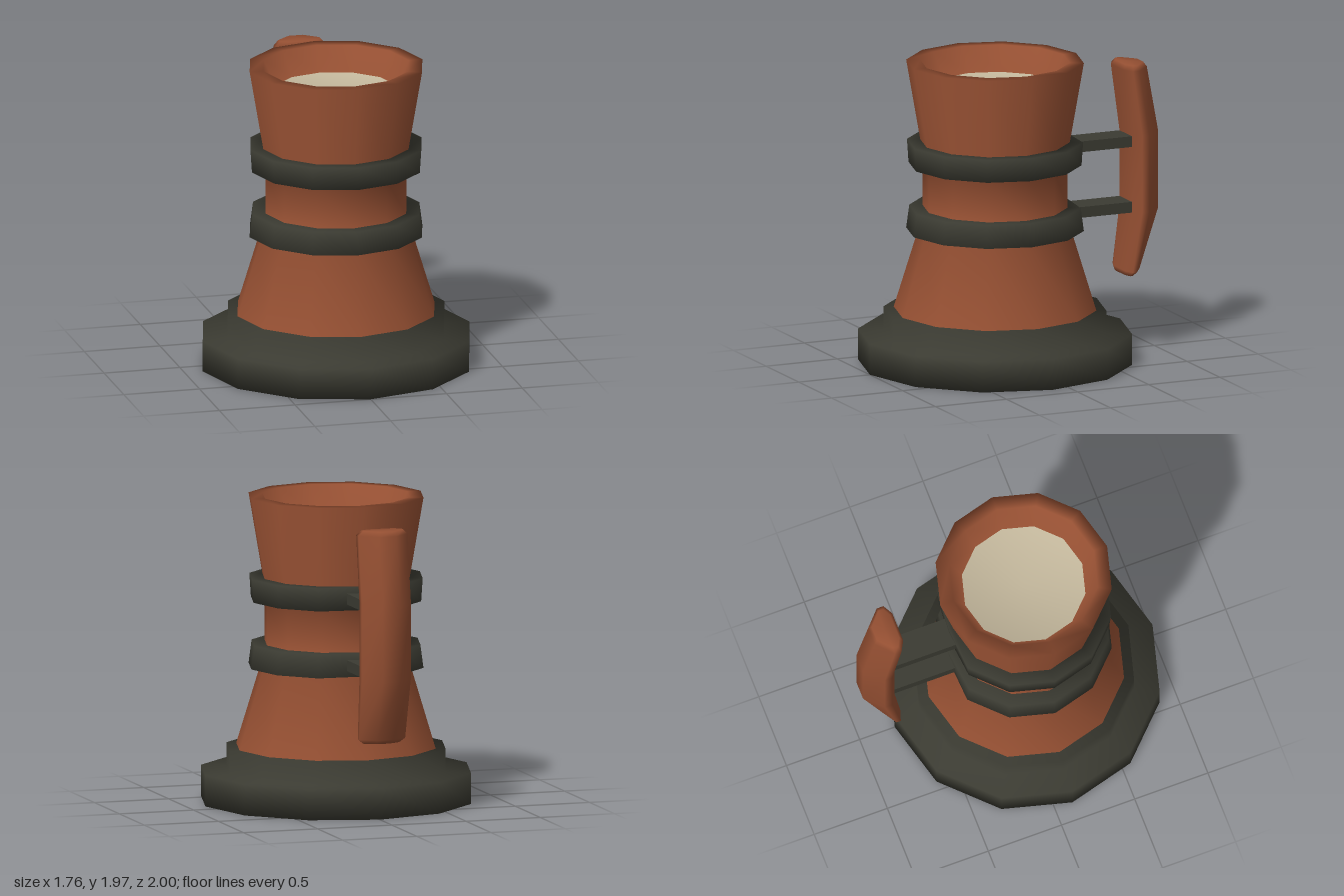
import * as THREE from 'three';

const terracotta = new THREE.MeshStandardMaterial({ color: 0x944f32 });
terracotta.name = 'terracotta';
const iron = new THREE.MeshStandardMaterial({ color: 0x3b3b32 });
iron.name = 'dark iron';
const cream = new THREE.MeshStandardMaterial({ color: 0xc2b69b });
cream.name = 'cream foam';

const SIDES = 12;
const CENTER_Z = 0.12;

// Whole mug outline [radius, y], from the underside up and into the mouth
const PROFILE = [
  [0, 0], [0.88, 0], [0.88, 0.2], [0.715, 0.2], [0.715, 0.35], [0.65, 0.35],
  [0.49, 0.87], [0.57, 0.87], [0.55, 1.02], [0.465, 1.02],
  [0.465, 1.3], [0.555, 1.3], [0.565, 1.45], [0.48, 1.45],
  [0.57, 1.97], [0.48, 1.97], [0.4, 1.81], [0, 1.81],
];

// Parts of the outline: name, material, first and last profile point
const PARTS = [
  ['base', iron, 0, 5],
  ['lowerBody', terracotta, 5, 6],
  ['lowerBand', iron, 6, 9],
  ['waist', terracotta, 9, 10],
  ['upperBand', iron, 10, 13],
  ['upperBodyAndRim', terracotta, 13, 16],
  ['drink', cream, 16, 17],
];

// One smooth lathe, flattened behind the bands where the brackets attach
function mugSurface() {
  const geo = new THREE.LatheGeometry(PROFILE.map(([r, y]) => new THREE.Vector2(r, y)), SIDES);
  const p = geo.attributes.position;
  for (let i = 0; i < p.count; i++) {
    const y = p.getY(i);
    if (y > 0.8 && y < 1.5 && p.getZ(i) < -0.51) p.setZ(i, -0.51);
  }
  return geo;
}

// Cuts the rows between two profile points out of the lathe, keeping its normals
function cutRows(surface, first, last) {
  const index = [];
  const n = PROFILE.length;
  for (let s = 0; s < SIDES; s++) {
    for (let j = first; j < last; j++) {
      const a = s * n + j, b = a + n;
      index.push(a, b, a + 1, b + 1, a + 1, b);
    }
  }
  const geo = surface.clone();
  geo.setIndex(index);
  return geo.toNonIndexed();
}

// Bowed eight-sided grip lofted through cross-sections
function gripGeometry() {
  // [half width share, depth share from back to front]
  const ring = [[1, 0.55], [1, 0.8], [0.6, 1], [-0.6, 1], [-1, 0.8], [-1, 0.55], [-0.36, 0], [0.36, 0]];
  // [y, back z, front z, half width], bottom to top
  const sections = [
    [0.5, -0.8, -0.8, 0],
    [0.5, -0.83, -0.76, 0.12],
    [0.53, -0.87, -0.755, 0.155],
    [0.92, -1, -0.8, 0.165],
    [1.42, -1, -0.8, 0.165],
    [1.85, -0.92, -0.74, 0.165],
    [1.88, -0.9, -0.76, 0.135],
    [1.88, -0.83, -0.83, 0],
  ];
  const pos = [], index = [], n = ring.length;
  sections.forEach(([y, back, front, w], j) => {
    ring.forEach(([sx, t], k) => {
      pos.push(sx * w, y, back + (front - back) * t);
      if (j === sections.length - 1) return;
      const a = j * n + k, b = j * n + (k + 1) % n;
      index.push(a, a + n, b, b, a + n, b + n);
    });
  });
  const geo = new THREE.BufferGeometry();
  geo.setAttribute('position', new THREE.Float32BufferAttribute(pos, 3));
  geo.setIndex(index);
  geo.computeVertexNormals();
  return geo;
}

export function createModel() {
  const model = new THREE.Group();
  model.name = 'mug';
  const add = (name, geo, material) => {
    const mesh = new THREE.Mesh(geo, material);
    mesh.name = name;
    model.add(mesh);
    return mesh;
  };

  // Turned body, bands and drink
  const surface = mugSurface();
  for (const [name, material, first, last] of PARTS) {
    add(name, cutRows(surface, first, last), material).position.z = CENTER_Z;
  }

  // Brackets from the bands to the grip
  for (const [name, y] of [['lowerBracket', 0.945], ['upperBracket', 1.375]]) {
    add(name, new THREE.BoxGeometry(0.19, 0.07, 0.5), iron).position.set(0, y, -0.6);
  }

  add('handleGrip', gripGeometry(), terracotta);
  return model;
}
